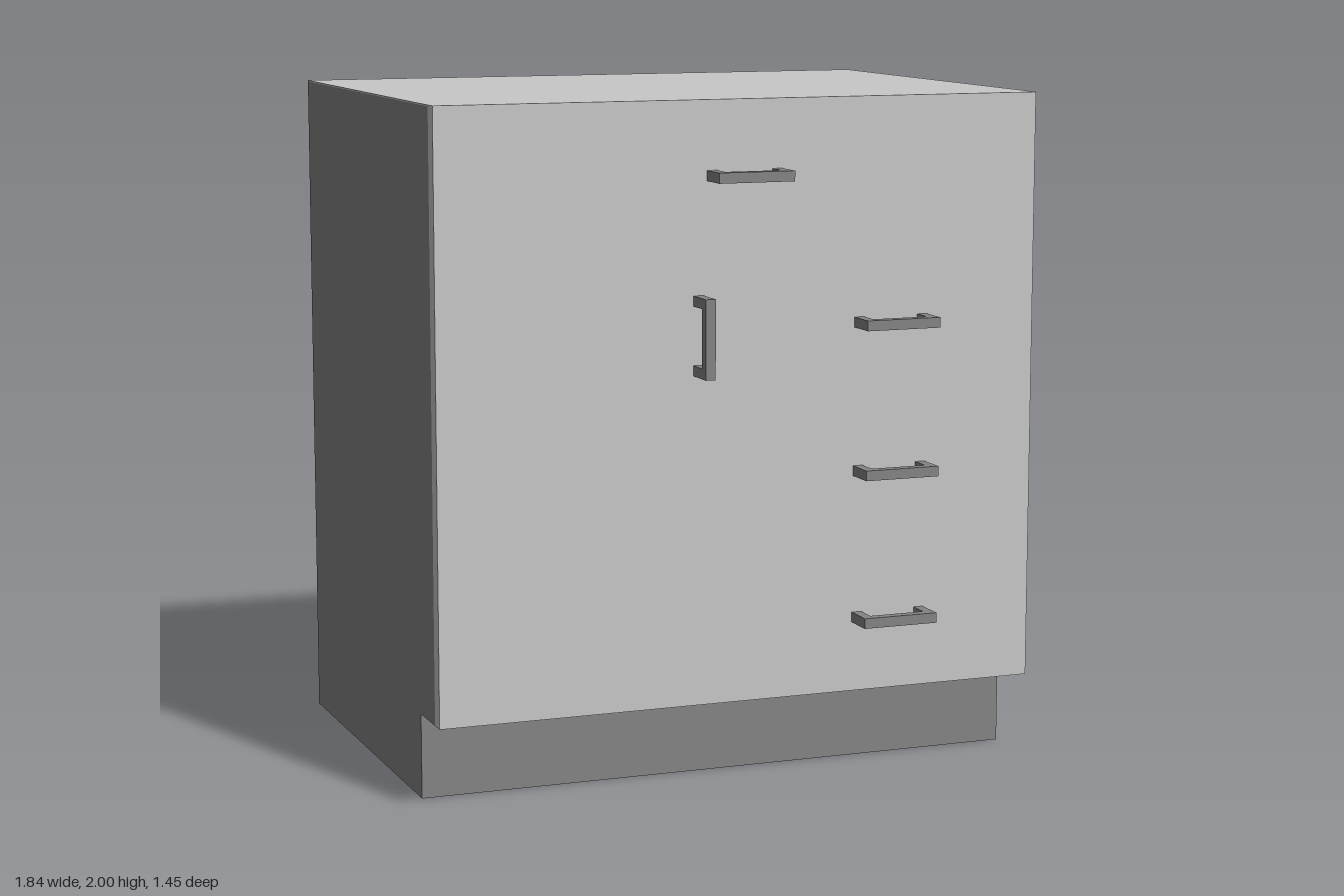
import * as THREE from 'three';

export function createModel() {
  const model = new THREE.Group();
  const light = new THREE.MeshStandardMaterial({ name: 'lightGrey', color: 0xc8c8c8 });
  const dark = new THREE.MeshStandardMaterial({ name: 'darkGrey', color: 0x848484 });

  // Main dimensions
  const W = 0.92, T = 0.035, BACK = -0.725, CARCASS = 0.585, FRONT = 0.63;
  const KICK_Z = 0.445, KICK_H = 0.25, H = 2, SHEET = 0.004;

  // Box given by its minimum and maximum corners
  function box(name, material, [x0, y0, z0], [x1, y1, z1], parent = model) {
    const mesh = new THREE.Mesh(new THREE.BoxGeometry(x1 - x0, y1 - y0, z1 - z0), material);
    mesh.position.set((x0 + x1) / 2, (y0 + y1) / 2, (z0 + z1) / 2);
    mesh.name = name;
    parent.add(mesh);
    return mesh;
  }

  // Side panels, notched at the front for the toe space
  const profile = new THREE.Shape([
    [BACK, 0], [KICK_Z, 0], [KICK_Z, KICK_H], [CARCASS, KICK_H], [CARCASS, H - SHEET], [BACK, H - SHEET],
  ].map(([z, y]) => new THREE.Vector2(z, y)));
  const sideGeometry = new THREE.ExtrudeGeometry(profile, { depth: T, bevelEnabled: false });
  sideGeometry.rotateY(-Math.PI / 2);
  for (const [name, x] of [['leftSide', W], ['rightSide', -W + T]]) {
    const side = new THREE.Mesh(sideGeometry, dark);
    side.position.x = x;
    side.name = name;
    model.add(side);
  }

  // Back, toe kick, raised floor and top
  box('back', dark, [-W + T, 0, BACK], [W - T, H - SHEET, BACK + T]);
  box('toeKick', dark, [-W + T, 0, KICK_Z - T], [W - T, KICK_H, KICK_Z]);
  box('floor', light, [-W + T, KICK_H + T, BACK + T], [W - T, KICK_H + 2 * T, CARCASS]);
  box('top', light, [-W, H - SHEET, BACK], [W, H, CARCASS]);

  // Flush fronts: full-width top drawer, door on one side, three drawers on the other
  const row = (H - KICK_H) / 4;
  const rowY = (i) => KICK_H + i * row;
  box('topDrawerFront', light, [-W, rowY(3), CARCASS], [W, H, FRONT]);
  box('doorFront', light, [-W, KICK_H, CARCASS], [0, rowY(3), FRONT]);
  for (let i = 0; i < 3; i++) {
    box('drawerFront', light, [0, rowY(i), CARCASS], [W, rowY(i + 1), FRONT]);
  }

  // Square bar pull with two legs
  function addHandle(name, x, y, vertical = false) {
    const handle = new THREE.Group();
    const half = 0.115, r = 0.015, reach = 0.095, bar = 0.03;
    box('handleBar', dark, [-half, -r, reach - bar], [half, r, reach], handle);
    for (const s of [-1, 1]) {
      const c = s * (half - r);
      box('handleLeg', dark, [c - r, -r, 0], [c + r, r, reach - bar], handle);
    }
    handle.position.set(x, y, FRONT);
    if (vertical) handle.rotation.z = Math.PI / 2;
    handle.name = name;
    model.add(handle);
  }
  addHandle('topDrawerHandle', 0, 1.785);
  addHandle('doorHandle', -0.14, 1.33, true);
  for (let i = 0; i < 3; i++) addHandle('drawerHandle', W / 2, rowY(i + 0.5) + 0.003);

  return model;
}
